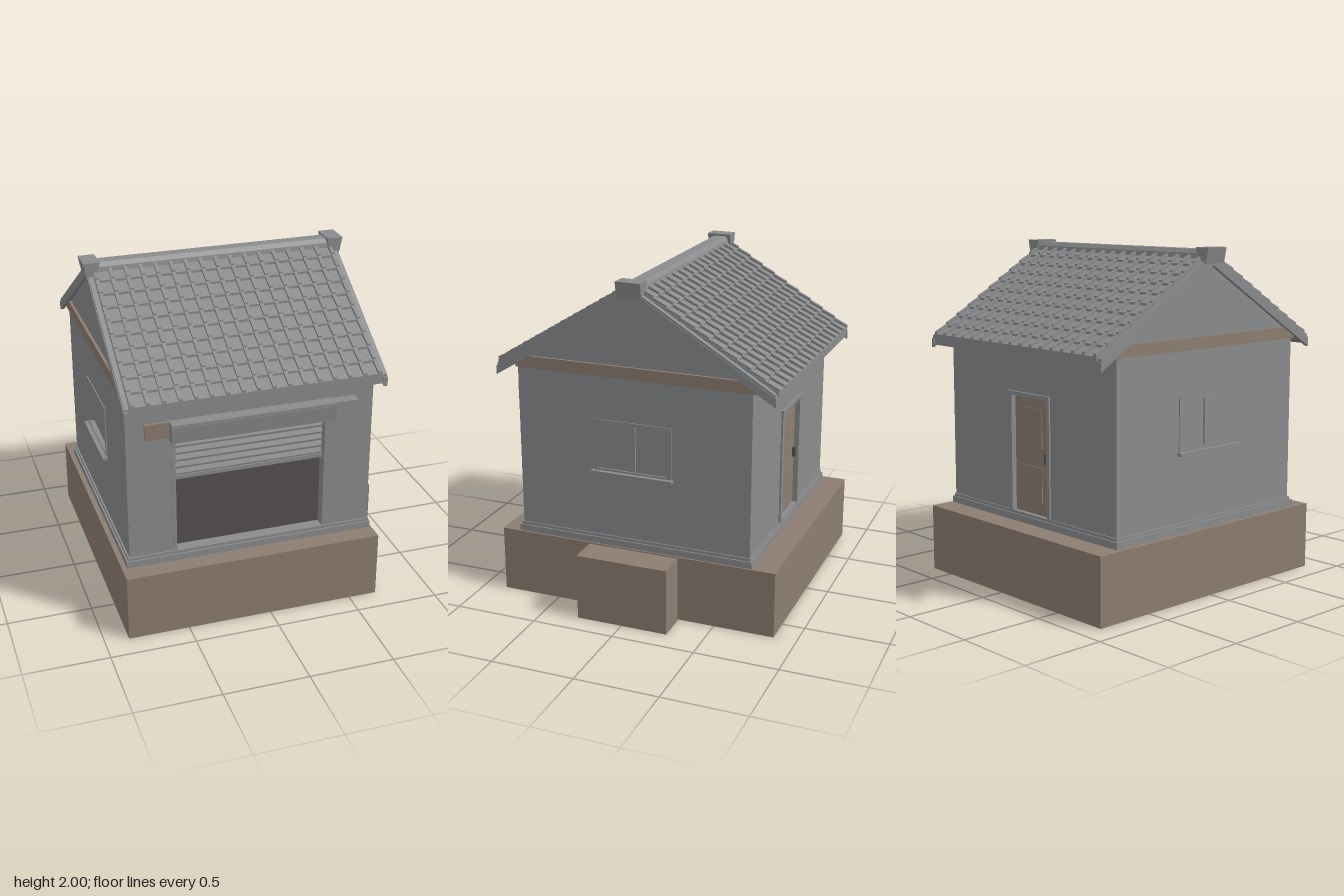
import * as THREE from 'three';

const mat = (name, color, extra = {}) => {
  const m = new THREE.MeshStandardMaterial({ color, ...extra });
  m.name = name;
  return m;
};

export function createModel() {
  const model = new THREE.Group();
  model.name = 'smallHouse';
  const grey = mat('stoneGrey', 0x8a8b8d);
  const brown = mat('earthBrown', 0x8c7d70);
  const dark = mat('shadowBrown', 0x565150);

  const add = (name, geometry, material, parent = model) => {
    const mesh = new THREE.Mesh(geometry, material);
    mesh.name = name;
    parent.add(mesh);
    return mesh;
  };
  // box given by its limits on each axis
  const box = (name, material, [x0, x1], [y0, y1], [z0, z1], parent) => {
    const g = new THREE.BoxGeometry(x1 - x0, y1 - y0, z1 - z0);
    g.translate((x0 + x1) / 2, (y0 + y1) / 2, (z0 + z1) / 2);
    return add(name, g, material, parent);
  };
  const outline = (pts, Type = THREE.Shape) => new Type(pts.map(([a, b]) => new THREE.Vector2(a, b)));
  const rect = (a0, a1, b0, b1) => [[a0, b0], [a1, b0], [a1, b1], [a0, b1]];
  // profile of (z, y) points extruded along x, with an optional hole
  const extrudeX = (pts, x0, x1, hole) => {
    const flip = (list) => list.map(([z, y]) => [-z, y]);
    const shape = outline(flip(pts));
    if (hole) shape.holes.push(outline(flip(hole), THREE.Path));
    const g = new THREE.ExtrudeGeometry(shape, { depth: x1 - x0, bevelEnabled: false });
    g.rotateY(Math.PI / 2);
    g.translate(x0, 0, 0);
    return g;
  };

  // ground blocks
  box('groundBlock', brown, [-0.86, 0.67], [0, 0.4], [-0.865, 0.86]);
  box('sideBlock', brown, [0.685, 0.865], [0, 0.4], [-0.282, 0.278]);

  // plinth with a small step
  box('plinth', grey, [-0.83, 0.66], [0.4, 0.44], [-0.72, 0.75]);
  box('plinthCap', grey, [-0.82, 0.652], [0.44, 0.458], [-0.712, 0.74]);

  // walls: solid core, pierced front and pierced sides
  const wallTop = 1.437;
  box('wallCore', grey, [-0.75, 0.585], [0.45, wallTop], [-0.67, 0.63]);
  const front = outline(rect(-0.81, 0.645, 0.45, wallTop));
  front.holes.push(outline(rect(-0.55, 0.378, 0.458, 1.2), THREE.Path));
  const frontGeo = new THREE.ExtrudeGeometry(front, { depth: 0.1, bevelEnabled: false });
  frontGeo.translate(0, 0, 0.63);
  add('frontWall', frontGeo, grey);

  const backShape = outline(rect(-0.81, 0.645, 0.45, wallTop));
  backShape.holes.push(outline(rect(-0.26, 0.1, 0.458, 1.16), THREE.Path));
  const backGeo = new THREE.ExtrudeGeometry(backShape, { depth: 0.04, bevelEnabled: false });
  backGeo.translate(0, 0, -0.705);
  add('backWall', backGeo, grey);

  // side walls with sliding windows
  for (const side of [1, -1]) {
    const outer = side > 0 ? 0.645 : -0.81;
    const span = (a, b) => [outer + side * a, outer + side * b].sort((p, q) => p - q);
    const g = new THREE.Group();
    g.name = side > 0 ? 'leftSide' : 'rightSide';
    model.add(g);
    const [w0, w1] = span(-0.06, 0);
    add('sideWall', extrudeX(rect(-0.665, 0.63, 0.45, wallTop), w0, w1, rect(-0.22, 0.245, 0.865, 1.17)), grey, g);
    const [f0, f1] = span(-0.05, 0.006);
    add('windowFrame', extrudeX(rect(-0.228, 0.25, 0.86, 1.175), f0, f1, rect(-0.2, 0.228, 0.875, 1.155)), grey, g);
    // two overlapping sashes
    for (const [z0, z1, depth] of [[-0.2, 0.022, -0.035], [0.006, 0.228, -0.022]]) {
      const [s0, s1] = span(depth - 0.012, depth);
      add('windowSash', extrudeX(rect(z0, z1, 0.875, 1.155), s0, s1, rect(z0 + 0.014, z1 - 0.014, 0.89, 1.142)), grey, g);
      box('windowPane', grey, span(depth - 0.01, depth - 0.006), [0.885, 1.147], [z0 + 0.01, z1 - 0.01], g);
    }
    box('windowSill', grey, span(-0.03, 0.032), [0.845, 0.864], [-0.24, 0.265], g);
  }

  // front opening: dark interior, jambs and rolling shutter
  box('darkInterior', dark, [-0.55, 0.378], [0.455, 0.92], [0.64, 0.67]);
  for (const [a, b] of [[-0.552, -0.53], [0.356, 0.38]]) box('openingJamb', grey, [a, b], [0.458, 1.18], [0.64, 0.735]);
  const slats = 6, slatTop = 1.18, slatH = (slatTop - 0.92) / slats;
  for (let i = 0; i < slats; i++) {
    const y = 0.92 + i * slatH;
    add('shutterSlat', extrudeX([[0.66, y], [0.692, y], [0.695, y + 0.012], [0.68, y + slatH], [0.66, y + slatH]], -0.53, 0.356), grey);
  }
  box('shutterBar', grey, [-0.53, 0.356], [0.9, 0.923], [0.66, 0.702]);

  // shutter housing and its end blocks
  add('shutterHousing', extrudeX([[0.72, 1.175], [0.793, 1.175], [0.805, 1.265], [0.805, 1.288], [0.72, 1.288]], -0.565, 0.395), grey);
  box('housingEnd', grey, [0.395, 0.53], [1.19, 1.285], [0.72, 0.795]);
  box('brownEnd', brown, [-0.705, -0.565], [1.19, 1.285], [0.72, 0.745]);

  // back door with frame, raised panels and handle
  const door = new THREE.Group();
  door.name = 'backDoor';
  model.add(door);
  box('doorLeaf', brown, [-0.25, 0.08], [0.458, 1.15], [-0.685, -0.665], door);
  for (const [y0, y1] of [[0.53, 0.74], [0.85, 1.08]]) box('doorPanel', brown, [-0.17, 0.02], [y0, y1], [-0.69, -0.685], door);
  box('doorHandle', dark, [-0.222, -0.207], [0.77, 0.83], [-0.705, -0.685], door);
  for (const [a, b] of [[-0.265, -0.243], [0.07, 0.104]]) box('doorJamb', grey, [a, b], [0.458, 1.165], [-0.716, -0.665], door);
  box('doorHead', grey, [-0.265, 0.104], [1.145, 1.168], [-0.72, -0.665], door);

  // brown ceiling slab and gable block above it
  const c = 0.007;
  const roofY = (d, drop) => 1.997 - 0.613 * d - drop;
  add('ceilingSlab', extrudeX([[-0.725, 1.435], [0.742, 1.435], [0.735, 1.46], [0.66, 1.505], [-0.65, 1.505], [-0.718, 1.46]], -0.822, 0.657), brown);
  add('gable', extrudeX([[c - 0.66, 1.5], [c + 0.66, 1.5], [c, roofY(0, 0.08)]], -0.805, 0.64), grey);

  // roof deck and verge boards: a folded strip between two drops
  const chevron = (half, top, bottom) => [
    [c - half, roofY(half, bottom)], [c, roofY(0, bottom)], [c + half, roofY(half, bottom)],
    [c + half, roofY(half, top)], [c, roofY(0, top)], [c - half, roofY(half, top)],
  ];
  add('roofDeck', extrudeX(chevron(0.845, 0.03, 0.085), -0.838, 0.668), grey);
  for (const x of [-0.842, 0.648]) add('vergeBoard', extrudeX(chevron(0.85, 0.045, 0.098), x, x + 0.024), grey);

  // stepped tile courses and ribs, mirrored over the ridge
  const courses = 10, d0 = 0.04, d1 = 0.855;
  const sawtooth = (side, high, low, base) => {
    const pts = [];
    for (let i = 0; i < courses; i++) {
      const a = d0 + (d1 - d0) * i / courses, b = d0 + (d1 - d0) * (i + 1) / courses;
      pts.push([c + side * a, roofY(a, low)], [c + side * b, roofY(b, high)]);
    }
    pts.push([c + side * d1, roofY(d1, base)], [c + side * d0, roofY(d0, base)]);
    return pts;
  };
  for (const side of [1, -1]) {
    const slope = new THREE.Group();
    slope.name = side > 0 ? 'frontTiles' : 'backTiles';
    model.add(slope);
    add('tileCourses', extrudeX(sawtooth(side, 0.013, 0.027, 0.04), -0.81, 0.636), grey, slope);
    for (let i = 0; i < 17; i++) {
      const x = -0.797 + i * 0.0886;
      add('tileRib', extrudeX(sawtooth(side, -0.002, 0.008, 0.035), x - 0.011, x + 0.011), grey, slope);
    }
  }

  // ridge beam and flared ridge ends
  add('ridgeBeam', extrudeX([[-0.055, 1.93], [0.068, 1.93], [0.06, 1.965], [0.04, 1.988], [-0.028, 1.988], [-0.047, 1.965]], -0.81, 0.64), grey);
  for (const x of [-0.817, 0.647]) {
    const g = new THREE.BoxGeometry(0.095, 0.09, 0.15);
    const p = g.attributes.position;
    for (let i = 0; i < p.count; i++) if (p.getY(i) < 0) p.setX(i, p.getX(i) * 0.62);
    g.computeVertexNormals();
    g.translate(x, 1.955, 0.01);
    add('ridgeEnd', g, grey);
  }
  return model;
}
